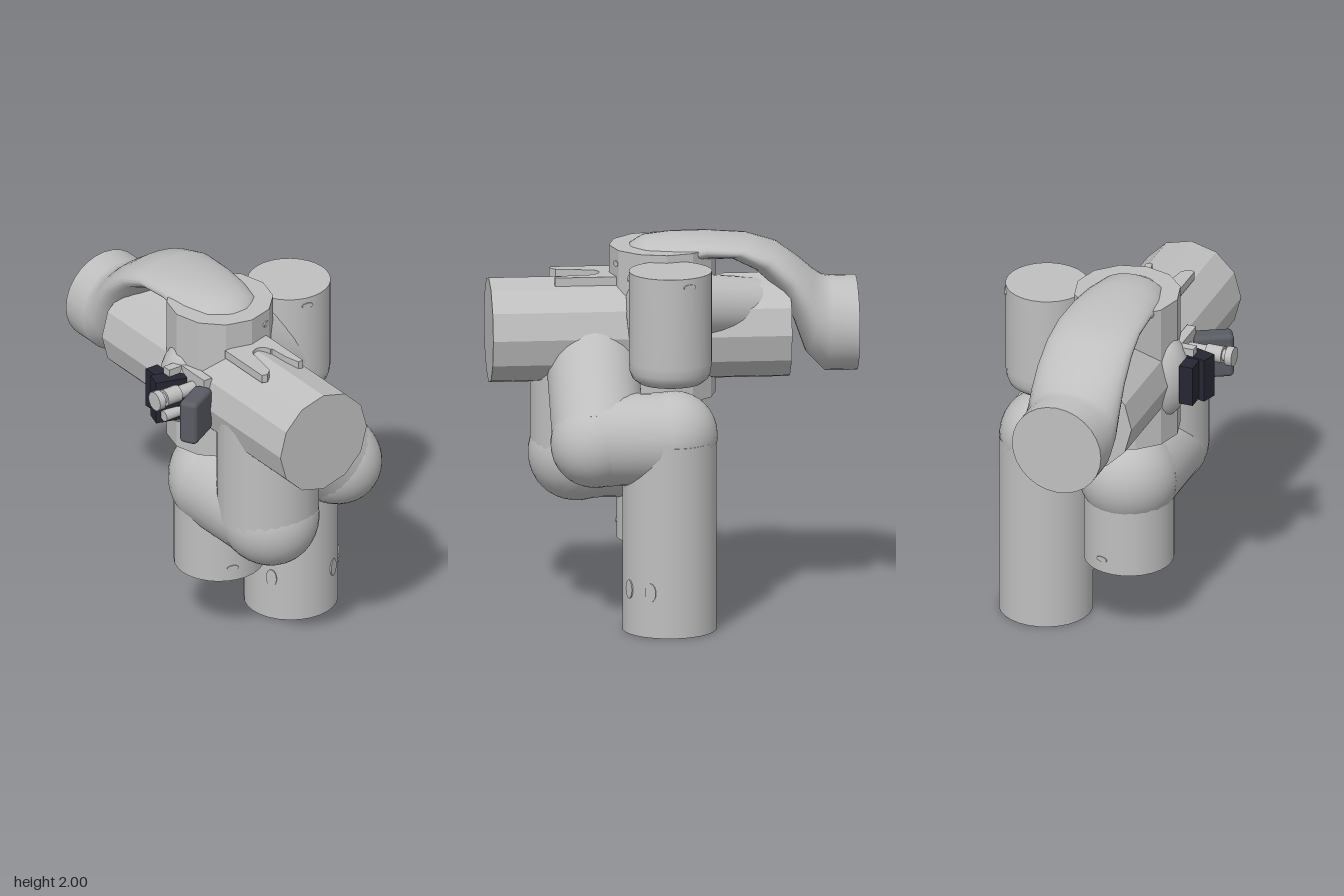
import * as THREE from 'three';
import { RoundedBoxGeometry } from 'three/addons/geometries/RoundedBoxGeometry.js';

const V = (x, y, z) => new THREE.Vector3(x, y, z);
const UP = V(0, 1, 0);

export function createModel() {
  const model = new THREE.Group();
  const mat = (name, color) => {
    const m = new THREE.MeshStandardMaterial({ color });
    m.name = name;
    return m;
  };
  const grey = mat('pipe grey', 0xbfbfbf);
  const slate = mat('box slate', 0x5a5c64);
  const navy = mat('bracket dark', 0x262633);

  function add(name, geo, material = grey, pos = [0, 0, 0], rot = [0, 0, 0], parent = model) {
    const mesh = new THREE.Mesh(geo, material);
    mesh.name = name;
    mesh.position.set(...pos);
    mesh.rotation.set(...rot);
    parent.add(mesh);
    return mesh;
  }

  // Straight pipe between two points, optionally tapered or faceted
  function rod(name, a, b, r, { r2 = r, sides = 28, flat = false, material = grey, parent = model } = {}) {
    const dir = b.clone().sub(a);
    let geo = new THREE.CylinderGeometry(r2, r, dir.length(), sides);
    if (flat) {
      geo = geo.toNonIndexed();
      geo.computeVertexNormals();
    }
    const mesh = add(name, geo, material, a.clone().lerp(b, 0.5).toArray(), [0, 0, 0], parent);
    mesh.quaternion.setFromUnitVectors(UP, dir.normalize());
    return mesh;
  }

  // Bent pipe: straight runs joined by elbows stretched towards the outer corner
  function bentPipe(name, points, radii) {
    const g = new THREE.Group();
    g.name = name;
    model.add(g);
    for (let i = 0; i < points.length - 1; i++) {
      rod(name + 'Run', points[i], points[i + 1], radii[i], { parent: g });
      if (i === 0) continue;
      const p = points[i];
      const outward = p.clone().sub(points[i - 1]).normalize()
        .add(p.clone().sub(points[i + 1]).normalize()).normalize();
      const elbow = add(name + 'Elbow', new THREE.SphereGeometry(radii[i], 28, 18), grey, p.toArray(), [0, 0, 0], g);
      elbow.quaternion.setFromUnitVectors(UP, outward);
      elbow.scale.y = 1.08;
    }
  }

  // Faceted main pipes
  rod('horizontalPipe', V(-0.085, 1.5, -0.6), V(-0.085, 1.5, 0.955), 0.278, { sides: 12, flat: true });
  rod('uprightPipe', V(-0.085, 1.15, 0.052), V(-0.085, 1.94, 0.052), 0.278, { sides: 12, flat: true });

  // Tall leg, bending forward and then diagonally into the horizontal pipe
  bentPipe('tallLeg', [V(0.37, 0, 0.055), V(0.37, 1.008, 0.055), V(0.37, 1.008, 0.425), V(-0.07, 1.45, 0.425)],
    [0.245, 0.24, 0.24]);

  // Short leg, bending forward and then up into the horizontal pipe
  bentPipe('shortLeg', [V(-0.093, 0.385, 0.055), V(-0.093, 0.865, 0.055), V(-0.09, 0.865, 0.475), V(-0.09, 1.5, 0.475)],
    [0.235, 0.262, 0.265]);

  // Side can with rounded bottom
  const can = [[0, 1.3], [0.12, 1.3], [0.165, 1.31], [0.197, 1.335], [0.211, 1.37], [0.216, 1.42], [0.216, 1.9]];
  add('sideCan', new THREE.LatheGeometry(can.map(p => new THREE.Vector2(...p)), 28), grey, [0.362, 0, 0.05]);
  add('sideCanLid', new THREE.CircleGeometry(0.216, 28), grey, [0.362, 1.9, 0.05], [-Math.PI / 2, 0, 0]);

  // Branches joining the can to the main pipes
  rod('canBranch', V(0.32, 1.52, 0.05), V(-0.06, 1.75, 0.05), 0.21);
  rod('rearBranch', V(0.15, 1.67, 0), V(-0.05, 1.6, -0.48), 0.17, { r2: 0.15 });

  // Arched pipe: [upper z, upper y, lower z, lower y, half width]
  const arch = [
    [0.24, 1.89, 0.24, 1.89, 0], [0.22, 1.945, 0.2, 1.84, 0.11], [0.15, 1.985, 0.12, 1.8, 0.18],
    [0.0, 2.0, 0.0, 1.8, 0.212], [-0.17, 1.995, -0.15, 1.87, 0.215], [-0.4, 1.975, -0.29, 1.875, 0.225],
    [-0.55, 1.93, -0.42, 1.81, 0.235], [-0.66, 1.85, -0.55, 1.69, 0.243], [-0.735, 1.785, -0.63, 1.53, 0.247],
    [-0.78, 1.757, -0.69, 1.36, 0.2475], [-0.82, 1.75, -0.79, 1.255, 0.2475], [-0.955, 1.75, -0.955, 1.255, 0.2475],
  ];
  const N = 28, pos = [], idx = [];
  arch.forEach(([uz, uy, lz, ly, w], i) => {
    for (let j = 0; j < N; j++) {
      const t = (j / N) * Math.PI * 2, c = Math.cos(t), s = Math.sin(t);
      pos.push(-0.085 + w * c, (uy + ly) / 2 + s * (uy - ly) / 2, (uz + lz) / 2 + s * (uz - lz) / 2);
      if (i === arch.length - 1) continue;
      const a = i * N + j, b = i * N + (j + 1) % N;
      idx.push(a, a + N, b, b, a + N, b + N);
    }
  });
  const archGeo = new THREE.BufferGeometry();
  archGeo.setAttribute('position', new THREE.Float32BufferAttribute(pos, 3));
  archGeo.setIndex(idx);
  archGeo.computeVertexNormals();
  add('archedPipe', archGeo);
  add('archedPipeEnd', new THREE.CircleGeometry(0.2475, N), grey, [-0.085, 1.5025, -0.955], [0, Math.PI, 0]);

  // Forked clip on top of the horizontal pipe
  const fork = new THREE.Shape();
  fork.moveTo(-0.235, 0.3);
  fork.lineTo(0.03, 0.3);
  fork.lineTo(0.03, 0.62);
  fork.lineTo(0, 0.62);
  fork.lineTo(-0.02, 0.54);
  fork.lineTo(-0.03, 0.43);
  fork.absarc(-0.09, 0.43, 0.05, 0, Math.PI, true);
  fork.lineTo(-0.17, 0.6);
  fork.lineTo(-0.205, 0.63);
  fork.lineTo(-0.235, 0.62);
  add('forkedClip', new THREE.ExtrudeGeometry(fork, { depth: 0.045, bevelEnabled: false }), grey,
    [0, 1.795, 0], [Math.PI / 2, 0, 0]);

  // Side fitting: saddle, bracket, box and knobs
  const saddle = add('saddle', new THREE.SphereGeometry(1, 20, 14), grey, [-0.29, 1.5, 0.03]);
  saddle.scale.set(0.14, 0.24, 0.14);
  add('controlBox', new RoundedBoxGeometry(0.21, 0.245, 0.1, 3, 0.025), slate, [-0.45, 1.5, 0.335], [0, 0.5, 0]);
  add('mountPlate', new THREE.BoxGeometry(0.05, 0.24, 0.2), grey, [-0.345, 1.54, 0.2]);
  add('darkBracket', new THREE.BoxGeometry(0.17, 0.24, 0.09), navy, [-0.45, 1.5, 0.1], [0, -0.3, 0]);
  add('darkTab', new THREE.BoxGeometry(0.075, 0.22, 0.1), navy, [-0.45, 1.5, 0.0]);
  add('bracketArm', new THREE.BoxGeometry(0.1, 0.04, 0.05), grey, [-0.4, 1.64, 0.08]);
  const knob = [[-0.36, -0.54, 0.035], [-0.47, -0.56, 0.045], [-0.56, -0.585, 0.03], [-0.582, -0.62, 0.052]];
  knob.forEach(([x1, x2, r]) => rod('knob', V(x1, 1.578, 0.205), V(x2, 1.578, 0.205), r, { sides: 14 }));
  rod('lowerKnob', V(-0.36, 1.43, 0.15), V(-0.52, 1.43, 0.15), 0.03, { sides: 12 });

  // Small oval plugs set on the pipes: centre x, z, pipe radius, angle, height, half sizes
  const plugs = [
    [0.37, 0.055, 0.245, 1.1, 0.24, 0.03, 0.05], [0.37, 0.055, 0.245, 2.63, 0.24, 0.03, 0.05],
    [0.37, 0.055, 0.245, 0.5, 0.24, 0.03, 0.05], [-0.093, 0.055, 0.235, 1.9, 0.46, 0.032, 0.015],
    [-0.093, 0.055, 0.235, -1.3, 0.46, 0.032, 0.015], [0.362, 0.05, 0.216, 1.75, 1.855, 0.032, 0.015],
    [0.362, 0.05, 0.216, -0.4, 1.855, 0.035, 0.015], [-0.085, 0.052, 0.274, 1.15, 1.865, 0.025, 0.015],
  ];
  for (const [x, z, r, a, y, w, h] of plugs) {
    const plug = add('plug', new THREE.CylinderGeometry(1, 1, 0.008, 16).rotateX(Math.PI / 2), grey,
      [x + r * Math.cos(a), y, z + r * Math.sin(a)], [0, Math.PI / 2 - a, 0]);
    plug.scale.set(w, h, 1);
  }

  return model;
}
